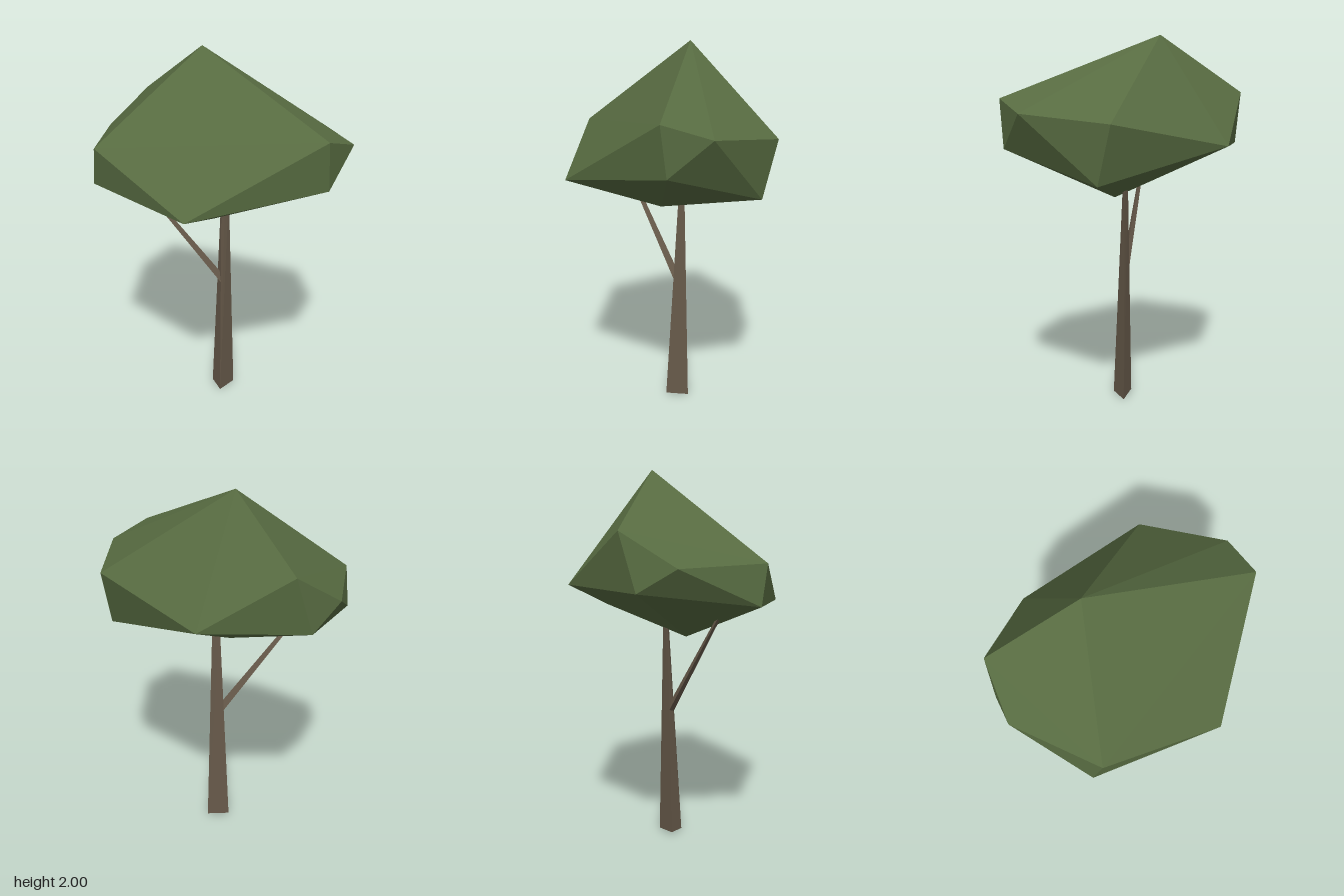
import * as THREE from 'three';
import { ConvexGeometry } from 'three/addons/geometries/ConvexGeometry.js';

const leafGreen = new THREE.MeshStandardMaterial({ color: 0x576b41, flatShading: true });
leafGreen.name = 'leaf green';
const barkBrown = new THREE.MeshStandardMaterial({ color: 0x675a4a, flatShading: true });
barkBrown.name = 'bark brown';

// Faceted solid wrapped around a few corner points
function hull(name, points, material) {
  const geometry = new ConvexGeometry(points.map((p) => new THREE.Vector3(...p)));
  const mesh = new THREE.Mesh(geometry, material);
  mesh.name = name;
  return mesh;
}

// Tapered three-sided limb between two points
function limb(name, from, to, r0, r1, material) {
  const a = new THREE.Vector3(...from);
  const b = new THREE.Vector3(...to);
  const dir = b.clone().sub(a);
  const mesh = new THREE.Mesh(new THREE.CylinderGeometry(r1, r0, dir.length(), 3), material);
  mesh.name = name;
  mesh.position.copy(a).add(b).multiplyScalar(0.5);
  mesh.quaternion.setFromUnitVectors(new THREE.Vector3(0, 1, 0), dir.normalize());
  return mesh;
}

export function createModel() {
  const tree = new THREE.Group();
  tree.name = 'tree';

  // Crown: irregular boulder-like mass of leaves
  tree.add(hull('crown', [
    [-0.15, 2.0, -0.15],                                             // peak
    [-0.57, 1.7, -0.39], [-0.565, 1.545, 0.33], [0.615, 1.67, 0.26], // upper ring
    [0.495, 1.555, -0.38], [0.695, 1.6, 0.03], [-0.7, 1.53, -0.14],
    [-0.6, 1.34, 0.29], [0.01, 1.315, 0.585], [0.62, 1.42, 0.23],    // lower ring
    [0.5, 1.26, -0.3], [-0.165, 1.43, -0.585], [-0.63, 1.415, -0.32],
    [-0.02, 1.125, 0.06],                                            // underside
  ], leafGreen));

  // Trunk: three-sided, tapering up into the crown
  tree.add(hull('trunk', [
    [0.01, 0.005, 0.042], [0.057, 0, -0.075], [-0.06, 0.015, -0.03],
    [0.015, 1.25, -0.033], [0.028, 1.25, -0.057], [-0.01, 1.25, -0.045],
  ], barkBrown));

  // Side branch reaching into the crown
  tree.add(limb('branch', [0, 0.71, -0.028], [-0.39, 1.32, 0.165], 0.024, 0.01, barkBrown));

  return tree;
}
